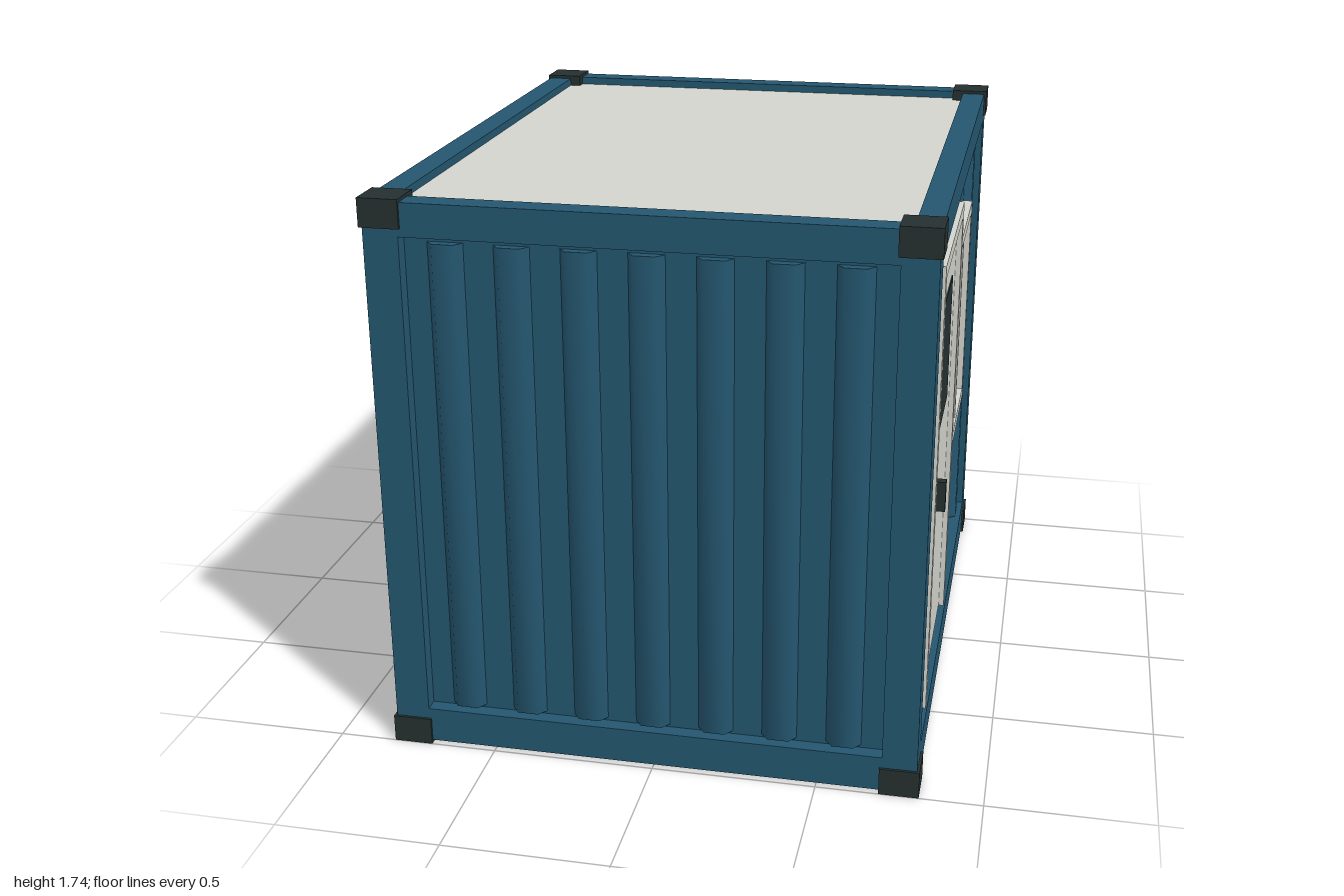
import * as THREE from 'three';
import { toCreasedNormals } from 'three/addons/utils/BufferGeometryUtils.js';

const mat = (name, color) => new THREE.MeshStandardMaterial({ name, color });

export function createModel() {
  const blue = mat('blue paint', 0x24566f);
  const cream = mat('off-white paint', 0xd4d4ce);
  const dark = mat('dark steel', 0x252f2f);
  const glass = mat('dark glass', 0x243130);

  const model = new THREE.Group();
  model.name = 'containerCabin';
  const body = new THREE.Group();
  body.name = 'cabin';
  body.position.x = -0.007; // the handle overhangs on one side
  model.add(body);

  // Box given by its limits on each axis
  const box = (name, material, [x0, x1], [y0, y1], [z0, z1], parent = body) => {
    const mesh = new THREE.Mesh(new THREE.BoxGeometry(x1 - x0, y1 - y0, z1 - z0), material);
    mesh.name = name;
    mesh.position.set((x0 + x1) / 2, (y0 + y1) / 2, (z0 + z1) / 2);
    parent.add(mesh);
    return mesh;
  };
  const span = (side, a, b) => (side > 0 ? [a, b] : [-b, -a]);

  const HX = 0.808, HZ = 0.992;             // outer frame
  const WX = HX - 0.045, WZ = HZ - 0.045;   // recessed walls
  const PX = HX - 0.105, PZ = HZ - 0.1;     // inner edge of posts
  const RAIL = 0.076;

  // Walls, roof and floor
  box('walls', blue, [-WX, WX], [0.06, 1.66], [-WZ, WZ]);
  box('roof', cream, [-HX + RAIL, HX - RAIL], [1.62, 1.705], [-HZ + RAIL, HZ - RAIL]);
  box('floor', dark, [-HX + RAIL, HX - RAIL], [0.03, 0.1], [-HZ + RAIL, HZ - RAIL]);

  // Frame rails
  for (const [name, y] of [['bottomRail', [0.01, 0.12]], ['topRail', [1.63, 1.73]]]) {
    for (const s of [-1, 1]) {
      box(name, blue, span(s, HX - RAIL, HX), y, [-PZ, PZ]);
      box(name, blue, [-PX, PX], y, span(s, HZ - RAIL, HZ));
    }
  }

  // Corner posts and corner fittings
  for (const sx of [-1, 1]) for (const sz of [-1, 1]) {
    box('cornerPost', blue, span(sx, PX, HX), [0.01, 1.73], span(sz, PZ, HZ));
    for (const y of [[0, 0.086], [1.654, 1.74]]) {
      box('cornerFitting', dark, span(sx, 0.696, 0.816), y, span(sz, 0.88, 1));
    }
  }

  // Pressed wall ribs: a trapezoid with softened shoulders
  const profile = new THREE.Shape([[-0.053, 0], [-0.032, -0.028], [0.032, -0.028], [0.053, 0]]
    .map(([x, y]) => new THREE.Vector2(x, y)));
  const ribGeo = toCreasedNormals(
    new THREE.ExtrudeGeometry(profile, { depth: 1.48, bevelEnabled: false }).rotateX(-Math.PI / 2), 1.0);
  const ribWall = (name, angle, distance, offsets) => {
    const wall = new THREE.Group();
    wall.name = name;
    wall.rotation.y = angle;
    for (const x of offsets) {
      const rib = new THREE.Mesh(ribGeo, blue);
      rib.name = 'wallRib';
      rib.position.set(x, 0.13, distance);
      wall.add(rib);
    }
    body.add(wall);
  };
  const row = (n, pitch) => Array.from({ length: n }, (_, i) => (i - (n - 1) / 2) * pitch);
  const sideRow = row(9, 0.1915);
  ribWall('frontRibs', 0, WZ, row(7, 0.194));
  ribWall('backRibs', Math.PI, WZ, row(7, 0.194));
  ribWall('plainSideRibs', -Math.PI / 2, WX, sideRow);
  ribWall('doorSideRibs', Math.PI / 2, WX, [sideRow[0], sideRow[8]]);

  // Door: frame, leaf, pane and handle
  const door = new THREE.Group();
  door.name = 'door';
  body.add(door);
  const frameX = [WX - 0.01, 0.807], leafX = [WX - 0.01, 0.79];
  box('doorJamb', cream, frameX, [0.147, 1.557], [0.69, 0.732], door);
  box('doorJamb', cream, frameX, [0.147, 1.557], [0, 0.044], door);
  box('doorHead', cream, frameX, [1.515, 1.557], [0.044, 0.69], door);
  box('doorLeaf', cream, leafX, [0.147, 1.506], [0.047, 0.681], door);
  box('doorPane', glass, [0.788, 0.794], [0.972, 1.373], [0.199, 0.534], door);
  box('doorHandle', dark, [0.785, 0.829], [0.76, 0.856], [0.594, 0.621], door);

  // Window: frame, mullion and two panes
  const win = new THREE.Group();
  win.name = 'window';
  body.add(win);
  const winX = [WX - 0.01, 0.8];
  box('windowHead', cream, winX, [1.367, 1.405], [-0.61, 0], win);
  box('windowSill', cream, winX, [0.675, 0.713], [-0.61, 0], win);
  box('windowJamb', cream, winX, [0.713, 1.367], [-0.61, -0.574], win);
  box('windowJamb', cream, winX, [0.713, 1.367], [-0.015, 0], win);
  box('windowMullion', cream, [WX - 0.01, 0.795], [0.713, 1.367], [-0.303, -0.281], win);
  box('windowPane', glass, [0.767, 0.775], [0.713, 1.367], [-0.281, -0.015], win);
  box('windowPane', glass, [0.767, 0.775], [0.713, 1.367], [-0.574, -0.303], win);

  return model;
}
